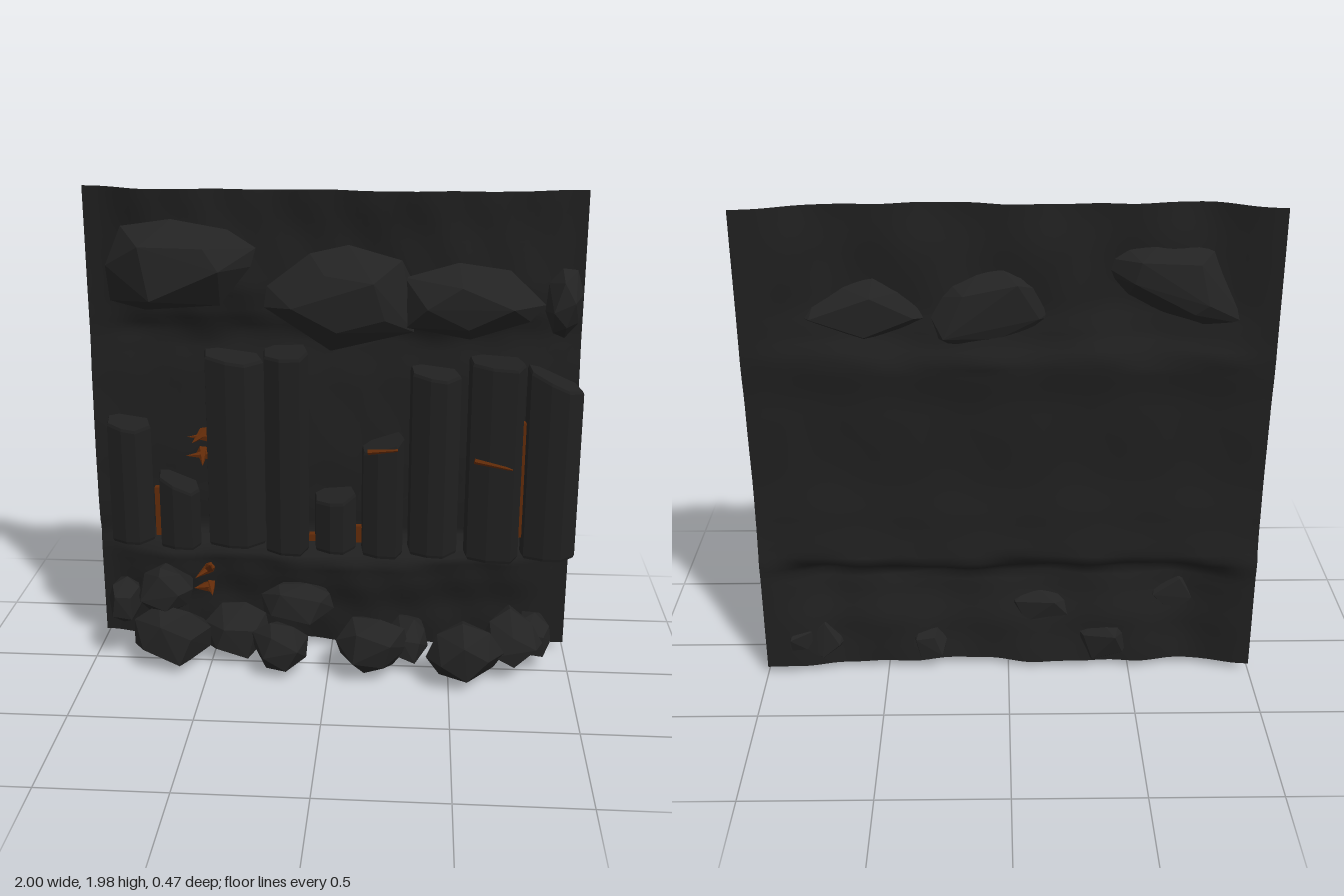
import * as THREE from 'three';
import { ConvexGeometry } from 'three/addons/geometries/ConvexGeometry.js';

export function createModel() {
  const model = new THREE.Group();
  model.name = 'basaltWall';
  const material = (name, color) => new THREE.MeshStandardMaterial({ name, color });
  const wallMat = material('charcoalWall', 0x1f1f1f);
  wallMat.side = THREE.DoubleSide;
  const rockMat = material('darkRock', 0x232323);
  const pillarMat = material('darkBasalt', 0x202020);
  const emberMat = material('emberOrange', 0x602a08);
  rockMat.flatShading = pillarMat.flatShading = emberMat.flatShading = true;

  let seed = 7;
  const random = () => (seed = (seed * 16807) % 2147483647) / 2147483647;
  const jitter = (a) => (random() * 2 - 1) * a;
  const add = (geometry, mat, name) => {
    const mesh = new THREE.Mesh(geometry, mat);
    mesh.name = name;
    model.add(mesh);
    return mesh;
  };

  // Rippled back sheet: overhang above, flat middle, ledge below
  const profile = [[0, -0.17], [0.2, -0.15], [0.38, -0.11], [0.45, -0.095], [0.53, -0.205], [0.7, -0.19],
    [0.9, -0.178], [1.2, -0.185], [1.4, -0.205], [1.48, -0.17], [1.6, -0.145], [1.8, -0.145], [2, -0.13]];
  const depthAt = (y) => {
    let i = 1;
    while (i < profile.length - 1 && profile[i][0] < y) i++;
    const [y0, z0] = profile[i - 1], [y1, z1] = profile[i];
    return THREE.MathUtils.lerp(z0, z1, THREE.MathUtils.smoothstep(y, y0, y1));
  };
  const sheet = new THREE.PlaneGeometry(2, 1.945, 60, 60);
  sheet.translate(0, 1.0125, 0);
  const pos = sheet.attributes.position;
  for (let i = 0; i < pos.count; i++) {
    const x = pos.getX(i), y = pos.getY(i);
    const middle = y > 0.53 && y < 1.4;
    const wave = 0.016 * Math.sin(6 * x + 3 * y) + 0.01 * Math.sin(13 * x - 7 * y) + 0.004 * Math.sin(27 * x + 15 * y);
    const edge = THREE.MathUtils.smoothstep(Math.abs(x), 0.68, 1);
    const bend = 0.015 * Math.sin(5 * x + 1);
    const z = depthAt(y + bend) + wave * (middle ? 0.35 : 1);
    pos.setZ(i, THREE.MathUtils.lerp(z, -0.21, edge * (middle ? 0.25 : 0.95)));
  }
  sheet.computeVertexNormals();
  add(sheet, wallMat, 'backSheet');

  // Faceted boulder: full outline in the middle (optional own depth), smaller rings in front and behind
  const boulder = (outline, back, front, spread, name) => {
    const cx = outline.reduce((s, p) => s + p[0], 0) / outline.length;
    const cy = outline.reduce((s, p) => s + p[1], 0) / outline.length;
    const points = [];
    const mid = (back + front) / 2, depth = front - back;
    outline.forEach(([x, y, own = mid + jitter(depth * 0.16)], i) => {
      points.push(new THREE.Vector3(x, y, own));
      if (i % 2) return;
      for (const [z, sign] of [[front, -1], [back, 1]]) {
        const s = spread + jitter(0.16);
        points.push(new THREE.Vector3(cx + (x - cx) * s, cy + (y - cy) * s, z + sign * random() * depth * 0.16));
      }
    });
    add(new ConvexGeometry(points), rockMat, name);
  };

  // Large upper boulders
  boulder([[-0.9, 1.53, -0.17], [-0.88, 1.7, -0.03], [-0.82, 1.85, -0.06], [-0.62, 1.88, -0.05], [-0.4, 1.84, -0.06],
    [-0.29, 1.77, -0.06], [-0.31, 1.7, -0.04], [-0.43, 1.55, -0.02], [-0.75, 1.5, -0.14]],
  -0.24, 0.1, 0.52, 'upperBoulder');
  boulder([[-0.26, 1.54], [-0.25, 1.62], [-0.08, 1.75], [0.07, 1.78], [0.28, 1.73], [0.33, 1.62],
    [0.33, 1.45], [0.18, 1.4], [0, 1.36]], -0.22, 0.06, 0.55, 'upperBoulder');
  boulder([[0.24, 1.55], [0.29, 1.66], [0.5, 1.715], [0.7, 1.69], [0.84, 1.56], [0.78, 1.5],
    [0.55, 1.42], [0.3, 1.47]], -0.21, 0.075, 0.55, 'upperBoulder');
  boulder([[0.84, 1.53], [0.85, 1.64], [0.9, 1.7], [0.96, 1.69], [0.985, 1.6], [0.97, 1.49], [0.92, 1.42],
    [0.87, 1.45]], -0.18, 0.01, 0.58, 'upperBoulder');

  // Rubble along the foot: x range, y range, z range
  [
    [-0.93, -0.79, 0.19, 0.37, -0.1, 0.09], [-0.8, -0.58, 0.22, 0.42, -0.14, 0.08],
    [-0.82, -0.49, 0.01, 0.27, -0.1, 0.15], [-0.53, -0.27, 0.02, 0.23, -0.22, 0.06],
    [-0.32, -0.08, 0.03, 0.22, -0.06, 0.18], [-0.29, 0.01, 0.19, 0.35, -0.17, 0.05],
    [0.04, 0.33, 0.03, 0.27, -0.06, 0.21], [0.25, 0.41, 0.04, 0.2, -0.22, 0.1],
    [0.42, 0.71, 0.01, 0.27, -0.05, 0.24], [0.65, 0.88, 0.03, 0.25, -0.2, 0.14],
    [0.78, 0.93, 0.05, 0.22, -0.22, 0.04],
  ].forEach(([x0, x1, y0, y1, z0, z1]) => {
    const outline = [];
    const turn = random();
    for (let i = 0; i < 8; i++) {
      const a = ((i + turn) / 8) * Math.PI * 2, r = 1.06 + jitter(0.06);
      outline.push([(x0 + x1) / 2 + (x1 - x0) / 2 * r * Math.cos(a),
        Math.max(0.01, (y0 + y1) / 2 + (y1 - y0) / 2 * r * Math.sin(a))]);
    }
    boulder(outline, z0, z1, 0.68, 'footRock');
  });

  // Basalt pillars: x range, foot, top at left, top at right, back, front
  [
    [-0.9, -0.72, 0.565, 1.09, 1.07, -0.06, 0.08], [-0.7, -0.53, 0.54, 0.86, 0.8, -0.06, 0.06],
    [-0.5, -0.26, 0.56, 1.375, 1.35, -0.06, 0.08], [-0.26, -0.08, 0.55, 1.385, 1.395, -0.05, 0.12],
    [-0.06, 0.11, 0.55, 0.78, 0.8, -0.06, 0.09], [0.13, 0.3, 0.525, 0.98, 1.04, -0.07, 0.065],
    [0.32, 0.52, 0.54, 1.32, 1.3, -0.06, 0.08], [0.55, 0.77, 0.52, 1.36, 1.35, -0.07, 0.07],
    [0.78, 1, 0.525, 1.33, 1.24, -0.07, 0.05],
  ].forEach(([x0, x1, foot, topL, topR, back, front], n) => {
    const split = n % 2 ? 0.85 : 0.72;
    const section = [[0, 0.2], [0.05, 0.7], [0.4, 0.96], [split, 1], [1, 0.5], [0.88, 0.05], [0.2, 0]];
    const points = [];
    for (const [u, v] of section) {
      for (const [inset, drop] of [[1, 0.012], [0.95, 0]]) {
        const x = x0 + (x1 - x0) * (0.5 + (u - 0.5) * inset);
        const z = back + (front - back) * (0.5 + (v - 0.5) * inset);
        const top = THREE.MathUtils.lerp(topL, topR, u) - 0.02 * v;
        points.push(new THREE.Vector3(x, top - drop, z), new THREE.Vector3(x, foot + drop, z));
      }
    }
    add(new ConvexGeometry(points), pillarMat, 'pillar');
  });

  // Glowing seams deep between pillars: x, y range, width
  [[-0.71, 0.57, 0.78, 0.025], [-0.07, 0.56, 0.59, 0.03], [0.12, 0.56, 0.63, 0.03], [0.777, 0.6, 1.09, 0.022]]
    .forEach(([x, y0, y1, w]) => {
      add(new THREE.BoxGeometry(w, y1 - y0, 0.03), emberMat, 'emberSeam').position.set(x, (y0 + y1) / 2, -0.04);
    });

  // Glowing cracks on pillar fronts, thicker at one end
  [[0.217, 0.99, 0.063, 0.12, 0.08], [0.655, 0.942, 0.066, 0.155, -0.22]].forEach(([x, y, z, length, tilt]) => {
    const crack = add(new THREE.CylinderGeometry(0.012, 0.006, length, 5), emberMat, 'emberCrack');
    crack.position.set(x, y, z);
    crack.rotation.z = Math.PI / 2 + tilt;
  });

  // Ember shards: base point and tip
  [
    [[-0.49, 1, -0.04], [-0.56, 1.035, 0.07]], [[-0.51, 1.02, -0.04], [-0.54, 1.015, 0.09]],
    [[-0.49, 0.925, -0.04], [-0.57, 0.955, 0.07]], [[-0.52, 0.94, -0.04], [-0.5, 0.92, 0.09]],
    [[-0.51, 0.42, -0.03], [-0.485, 0.485, 0.08]], [[-0.5, 0.43, -0.03], [-0.55, 0.42, 0.07]],
    [[-0.51, 0.35, -0.01], [-0.55, 0.39, 0.1]], [[-0.5, 0.36, -0.01], [-0.48, 0.34, 0.06]],
  ].forEach(([base, tip]) => {
    const a = new THREE.Vector3(...base), b = new THREE.Vector3(...tip);
    const shard = add(new THREE.ConeGeometry(0.024, a.distanceTo(b), 5), emberMat, 'emberShard');
    shard.position.copy(a).lerp(b, 0.5);
    shard.quaternion.setFromUnitVectors(new THREE.Vector3(0, 1, 0), b.sub(a).normalize());
  });

  return model;
}
